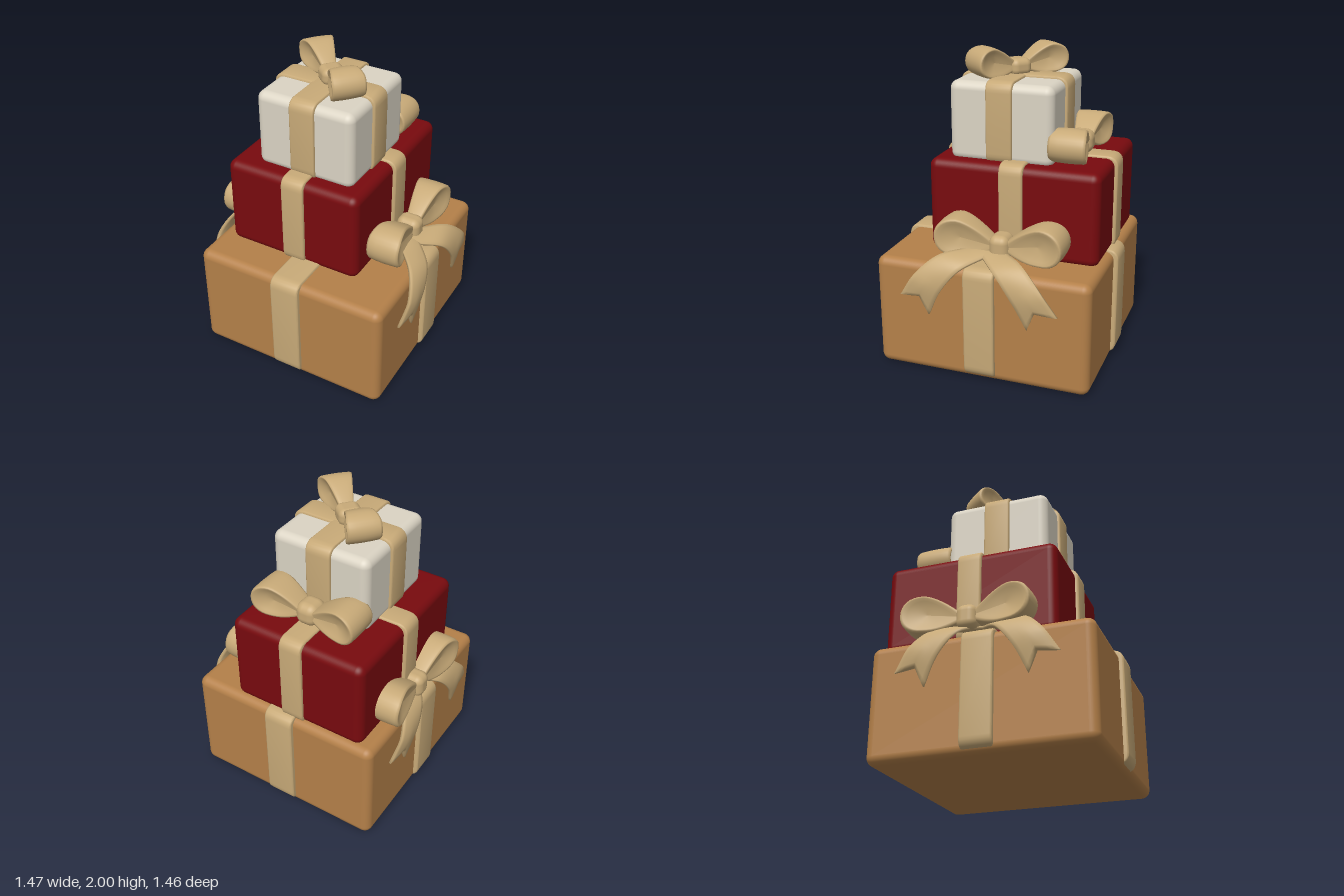
import * as THREE from 'three';
import { toCreasedNormals } from 'three/addons/utils/BufferGeometryUtils.js';
import { RoundedBoxGeometry } from 'three/addons/geometries/RoundedBoxGeometry.js';

const material = (name, color) => {
  const m = new THREE.MeshStandardMaterial({ color });
  m.name = name;
  return m;
};

function addMesh(parent, name, geometry, mat, x = 0, y = 0, z = 0) {
  const mesh = new THREE.Mesh(geometry, mat);
  mesh.name = name;
  mesh.position.set(x, y, z);
  parent.add(mesh);
  return mesh;
}

// Smooth skin over a row of closed rings
function loft(rings) {
  const n = rings[0].length, index = [];
  for (let i = 0; i < rings.length - 1; i++) {
    for (let j = 0; j < n; j++) {
      const k = (j + 1) % n, a = i * n + j, b = a + n, c = i * n + k, d = c + n;
      index.push(a, b, c, b, d, c);
    }
  }
  const g = new THREE.BufferGeometry().setFromPoints(rings.flat());
  g.setIndex(index);
  g.computeVertexNormals();
  return g;
}

// Flat ribbon wrapped round a box: rounded rectangle, extruded to the ribbon's width
function bandGeometry(w, h, width, r = 0.06) {
  const b = 0.012, x = w / 2 - b, y = h / 2 - b;
  const s = new THREE.Shape();
  s.moveTo(-x + r, -y);
  s.lineTo(x - r, -y);
  s.quadraticCurveTo(x, -y, x, -y + r);
  s.lineTo(x, y - r);
  s.quadraticCurveTo(x, y, x - r, y);
  s.lineTo(-x + r, y);
  s.quadraticCurveTo(-x, y, -x, y - r);
  s.lineTo(-x, -y + r);
  s.quadraticCurveTo(-x, -y, -x + r, -y);
  const depth = width - 2 * b;
  const g = new THREE.ExtrudeGeometry(s, { depth, bevelThickness: b, bevelSize: b, bevelSegments: 3, curveSegments: 6 });
  g.translate(0, 0, -depth / 2);
  return toCreasedNormals(g, 0.7);
}

// Puffy teardrop bow loop along +x, dimpled on both open sides
function loopGeometry({ length, height, inner, outer, lift }) {
  const half = [[0.66, 0], [0.74, 0.4], [0.88, 0.72], [0.98, 0.86], [0.98, 0.95], [0.85, 1], [0.45, 1.02]];
  const layers = [...half.map(([o, s]) => [-o, s]), [0, 1.03], ...half.reverse()];
  return loft(layers.map(([offset, scale]) => {
    const ring = [];
    for (let j = 0; j < 40; j++) {
      const t = (j / 40) * Math.PI * 2;
      const u = 0.6 + ((1 - Math.cos(t)) / 2 - 0.6) * scale;
      const v = (Math.sin(t) * Math.abs(Math.sin(t / 2)) / 0.77) * scale;
      const w = THREE.MathUtils.lerp(inner, outer, Math.min(1, u * 1.1)) / 2;
      ring.push(new THREE.Vector3(u * length, v * height / 2 + lift * Math.min(1, u * 1.6), offset * w));
    }
    return ring;
  }));
}

// Two loops and a knot
function makeBow(parent, name, mat, o, x, y, z, angle) {
  const bow = new THREE.Group();
  bow.name = name;
  bow.position.set(x, y, z);
  bow.rotation.y = angle;
  const g = loopGeometry(o);
  addMesh(bow, 'bowLoopA', g, mat);
  addMesh(bow, 'bowLoopB', g, mat).rotation.y = Math.PI;
  const [kx, ky, kz] = o.knot;
  addMesh(bow, 'bowKnot', new RoundedBoxGeometry(kx, ky, kz, 5, Math.min(kx, ky, kz) * 0.38), mat);
  parent.add(bow);
}

// Ribbon tail draped over the box edge, with a notched end
function tailGeometry() {
  const V = (x, y, z) => new THREE.Vector3(x, y, z);
  const path = new THREE.CatmullRomCurve3([
    V(0.44, 0.82, 0.02), V(0.56, 0.805, 0.14), V(0.67, 0.765, 0.27), V(0.716, 0.64, 0.39), V(0.695, 0.475, 0.485),
  ]);
  const startDir = V(-0.7, 0, 0.7), endDir = V(0, 0.5, 0.86);
  const steps = 24, across = 8, rings = [];
  for (let i = 0; i <= steps + 2; i++) {
    const t = THREE.MathUtils.clamp((i - 1) / steps, 0, 1);
    const p = path.getPoint(t), T = path.getTangent(t);
    const W = startDir.clone().lerp(endDir, Math.min(1, t * 1.25));
    W.addScaledVector(T, -W.dot(T) * (1 - t)).normalize();
    const N = W.clone().cross(T).normalize();
    const width = THREE.MathUtils.lerp(0.12, 0.22, t) / 2;
    const thick = i === 0 || i === steps + 2 ? 0 : 0.018;
    const ring = [];
    for (const side of [1, -1]) {
      for (let j = 0; j <= across; j++) {
        const a = side * (1 - (2 * j) / across);
        const notch = 0.085 * (1 - Math.abs(a)) * Math.max(0, (t - 0.6) / 0.4);
        ring.push(p.clone().addScaledVector(W, a * width)
          .addScaledVector(N, side * thick * (1 - 0.6 * a * a))
          .addScaledVector(T, -notch));
      }
    }
    rings.push(ring);
  }
  return loft(rings);
}

export function createModel() {
  const model = new THREE.Group();
  model.name = 'giftStack';
  const kraft = material('kraft brown', 0xb48049);
  const red = material('deep red', 0x780a0e);
  const white = material('warm white', 0xdbd4c4);
  const ribbon = material('tan ribbon', 0xc8aa78);

  // Boxes: x, y and z ranges; crossing ribbons at rx and rz
  const gifts = [
    { name: 'bottom', mat: kraft, x: [-0.66, 0.66], y: [0, 0.74], z: [-0.7, 0.7], rx: 0, rz: 0, width: 0.2, out: 0.03, foot: 0.025 },
    { name: 'middle', mat: red, x: [-0.57, 0.363], y: [0.72, 1.325], z: [-0.66, 0.455], rx: -0.08, rz: -0.1, width: 0.155, out: 0.022, foot: 0 },
    { name: 'top', mat: white, x: [-0.4, 0.27], y: [1.3, 1.81], z: [-0.335, 0.345], rx: -0.068, rz: 0.01, width: 0.17, out: 0.018, foot: 0 },
  ];
  for (const g of gifts) {
    const [w, h, d] = [g.x, g.y, g.z].map(([a, b]) => b - a);
    const [cx, cy, cz] = [g.x, g.y, g.z].map(([a, b]) => (a + b) / 2);
    const gift = new THREE.Group();
    gift.name = g.name + 'Gift';
    addMesh(gift, g.name + 'Box', new RoundedBoxGeometry(w, h, d, 5, 0.055), g.mat, cx, cy, cz);
    const bandH = h + 0.015 - g.foot, bandY = cy + (0.015 + g.foot) / 2;
    addMesh(gift, g.name + 'SideRibbon', bandGeometry(w + 2 * g.out, bandH, g.width), ribbon, cx, bandY, g.rz);
    addMesh(gift, g.name + 'FrontRibbon', bandGeometry(d + 2 * g.out, bandH, g.width), ribbon, g.rx, bandY, cz)
      .rotation.y = Math.PI / 2;
    model.add(gift);
  }

  // Bows
  makeBow(model, 'topBow', ribbon,
    { length: 0.325, height: 0.185, inner: 0.07, outer: 0.215, lift: 0.045, knot: [0.14, 0.11, 0.15] },
    -0.06, 1.862, 0.005, -0.71);
  makeBow(model, 'middleBow', ribbon,
    { length: 0.365, height: 0.21, inner: 0.11, outer: 0.24, lift: 0.03, knot: [0.15, 0.15, 0.16] },
    -0.067, 1.41, -0.425, 0);
  const sideBow = { length: 0.415, height: 0.245, inner: 0.08, outer: 0.22, lift: 0.045, knot: [0.13, 0.16, 0.16] };
  makeBow(model, 'leftBow', ribbon, sideBow, 0.475, 0.85, -0.08, Math.PI / 2);
  makeBow(model, 'rightBow', ribbon, sideBow, -0.61, 0.85, -0.08, Math.PI / 2);

  // Tails on both sides, mirrored front to back
  const tail = tailGeometry();
  for (const sx of [1, -1]) {
    for (const sz of [1, -1]) {
      addMesh(model, (sx > 0 ? 'left' : 'right') + (sz > 0 ? 'Front' : 'Back') + 'Tail', tail, ribbon, 0, 0, sz > 0 ? -0.07 : 0.07)
        .scale.set(sx, 1, sz);
    }
  }
  return model;
}
